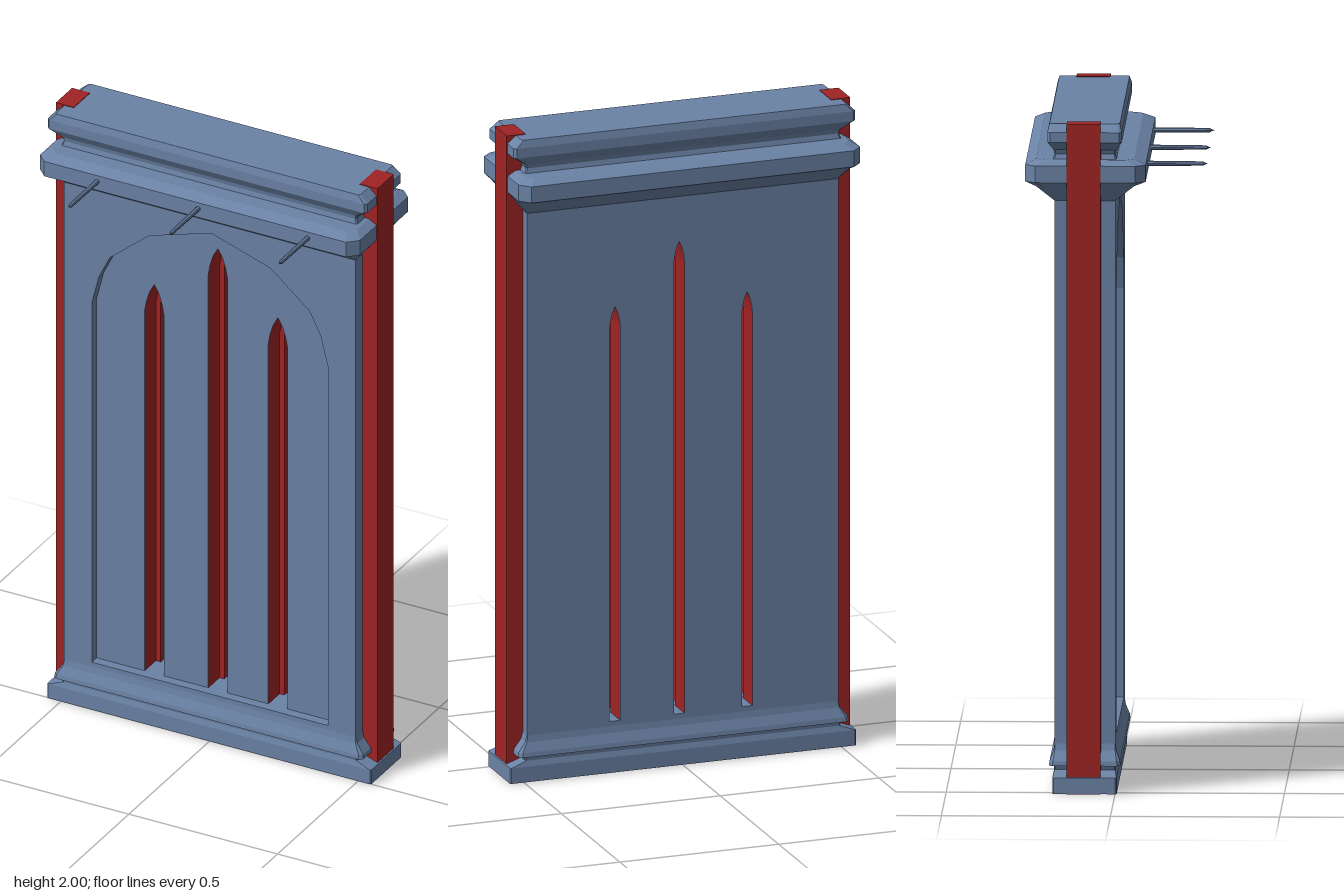
import * as THREE from 'three';

const stone = new THREE.MeshStandardMaterial({ color: 0x6b83a6, flatShading: true });
const red = new THREE.MeshStandardMaterial({ color: 0xa02424, flatShading: true });

// Skin between successive rings of [x, y, z] points
function loft(rings, { closed = true, caps = false } = {}) {
  const n = rings[0].length, index = [];
  rings.slice(1).forEach((_, r) => {
    for (let i = 0; i < (closed ? n : n - 1); i++) {
      const a = r * n + i, b = r * n + (i + 1) % n;
      index.push(a, b, b + n, a, b + n, a + n);
    }
  });
  if (caps) {
    const top = (rings.length - 1) * n;
    for (let i = 1; i < n - 1; i++) index.push(0, i + 1, i, top, top + i, top + i + 1);
  }
  const g = new THREE.BufferGeometry();
  g.setAttribute('position', new THREE.Float32BufferAttribute(rings.flat(2), 3));
  g.setIndex(index);
  const flat = g.toNonIndexed();
  flat.computeVertexNormals();
  return flat;
}

// Horizontal moulding ring: half width, front z, back z, corner chamfer
function ring([y, hx, zf, zb, c]) {
  return [[hx, zf - c], [hx, zb + c], [hx - c, zb], [c - hx, zb],
    [-hx, zb + c], [-hx, zf - c], [c - hx, zf], [hx - c, zf]].map(([x, z]) => [x, y, z]);
}

// Lancet outline, from bottom right over the apex to bottom left
function lancet(cx, w, y0, spring, apex) {
  const h = apex - spring;
  const half = [[1, y0], [1, spring], [0.82, spring + h * 0.35], [0.5, spring + h * 0.7]];
  return [...half.map(([k, y]) => [cx + k * w, y]), [cx, apex],
    ...half.reverse().map(([k, y]) => [cx - k * w, y])];
}

const toPath = (pts, Type = THREE.Path) => new Type(pts.map(([x, y]) => new THREE.Vector2(x, y)));

export function createModel() {
  const model = new THREE.Group();
  const add = (name, geometry, material, x = 0, y = 0, z = 0) => {
    const m = new THREE.Mesh(geometry, material);
    m.name = name;
    m.position.set(x, y, z);
    model.add(m);
    return m;
  };

  // Openings: outer lancets narrow to inner ones halfway through the wall
  const sill = 0.16, stepZ = -0.1, recessZ = -0.03, backZ = -0.18;
  const slots = [[-0.203, 1.38, 1.48], [0.011, 1.56, 1.66], [0.213, 1.38, 1.48]];
  const wide = (s, inset = 0) => lancet(s[0], 0.033 - inset, sill, s[1], s[2] - inset);
  const narrow = (s, inset = 0) => lancet(s[0], 0.017 - inset, sill, s[1], s[2] - 0.035 - inset);

  // Shallow arched recess on the front
  const arch = [[0.397, sill], [0.397, 1.38], [0.373, 1.475], [0.336, 1.55], [0.204, 1.66]];
  const recess = [...arch, [0.005, 1.725], ...arch.map(([x, y]) => [-x, y]).reverse()];

  // Wall in three layers
  const layer = (name, holes, zBack, zFront) => {
    const shape = toPath([[-0.49, 0.02], [0.49, 0.02], [0.49, 1.92], [-0.49, 1.92]], THREE.Shape);
    shape.holes = holes.map((h) => toPath(h));
    add(name, new THREE.ExtrudeGeometry(shape, { depth: zFront - zBack, bevelEnabled: false }),
      stone, 0, 0, zBack);
  };
  layer('wallFront', [recess], recessZ, 0);
  layer('wallMiddle', slots.map((s) => wide(s)), stepZ, recessZ);
  layer('wallBack', slots.map((s) => narrow(s)), backZ, stepZ);

  // Red stepped linings of the openings
  for (const s of slots) {
    const at = (pts, z) => pts.map(([x, y]) => [x, y, z]);
    const o = wide(s, 0.001), i = narrow(s, 0.001), z = stepZ + 0.001;
    add('slotLining', loft([at(o, recessZ), at(o, z), at(i, z), at(i, backZ)], { closed: false }), red);
  }

  // Red side posts
  for (const side of [-1, 1]) {
    add('sidePost', new THREE.BoxGeometry(0.06, 2, 0.1), red, side * 0.511, 1, -0.093);
  }

  // Mouldings, rows of [y, half width, front z, back z, chamfer]
  const mouldings = {
    plinth: [[0.002, 0.545, 0.005, -0.185, 0.004], [0.05, 0.545, 0.005, -0.185, 0.004],
      [0.068, 0.495, 0, -0.18, 0.004]],
    baseMoulding: [[0.066, 0.495, 0, -0.18, 0.004], [0.08, 0.5, 0.002, -0.182, 0.004],
      [0.082, 0.52, 0.016, -0.196, 0.01], [0.096, 0.518, 0.014, -0.194, 0.01],
      [0.125, 0.496, 0.003, -0.183, 0.004], [0.145, 0.49, 0, -0.18, 0.002]],
    cornice: [[1.765, 0.49, 0, -0.18, 0.004], [1.81, 0.525, 0.055, -0.235, 0.025],
      [1.825, 0.538, 0.09, -0.266, 0.03], [1.875, 0.538, 0.09, -0.266, 0.03],
      [1.89, 0.512, 0.055, -0.235, 0.025]],
    crown: [[1.885, 0.5, 0.005, -0.185, 0.004], [1.905, 0.492, 0, -0.18, 0.004],
      [1.918, 0.497, 0.003, -0.183, 0.004], [1.945, 0.538, 0.02, -0.2, 0.008],
      [1.975, 0.538, 0.02, -0.2, 0.008], [1.998, 0.512, 0.014, -0.194, 0.006]],
  };
  for (const [name, rows] of Object.entries(mouldings)) {
    add(name, loft(rows.map(ring), { caps: true }), stone);
  }

  // Pins projecting from the cornice, with stubby tips
  for (const x of [-0.33, 0.01, 0.378]) {
    const profile = [[0, 0], [0.008, 0], [0.0065, 0.185], [0.003, 0.19], [0, 0.199]];
    const pin = add('pin', new THREE.LatheGeometry(toPath(profile).getPoints
      ? profile.map(([r, l]) => new THREE.Vector2(r, l)) : [], 8), stone, x, 1.855, 0.07);
    pin.rotation.x = Math.PI / 2;
  }
  return model;
}
